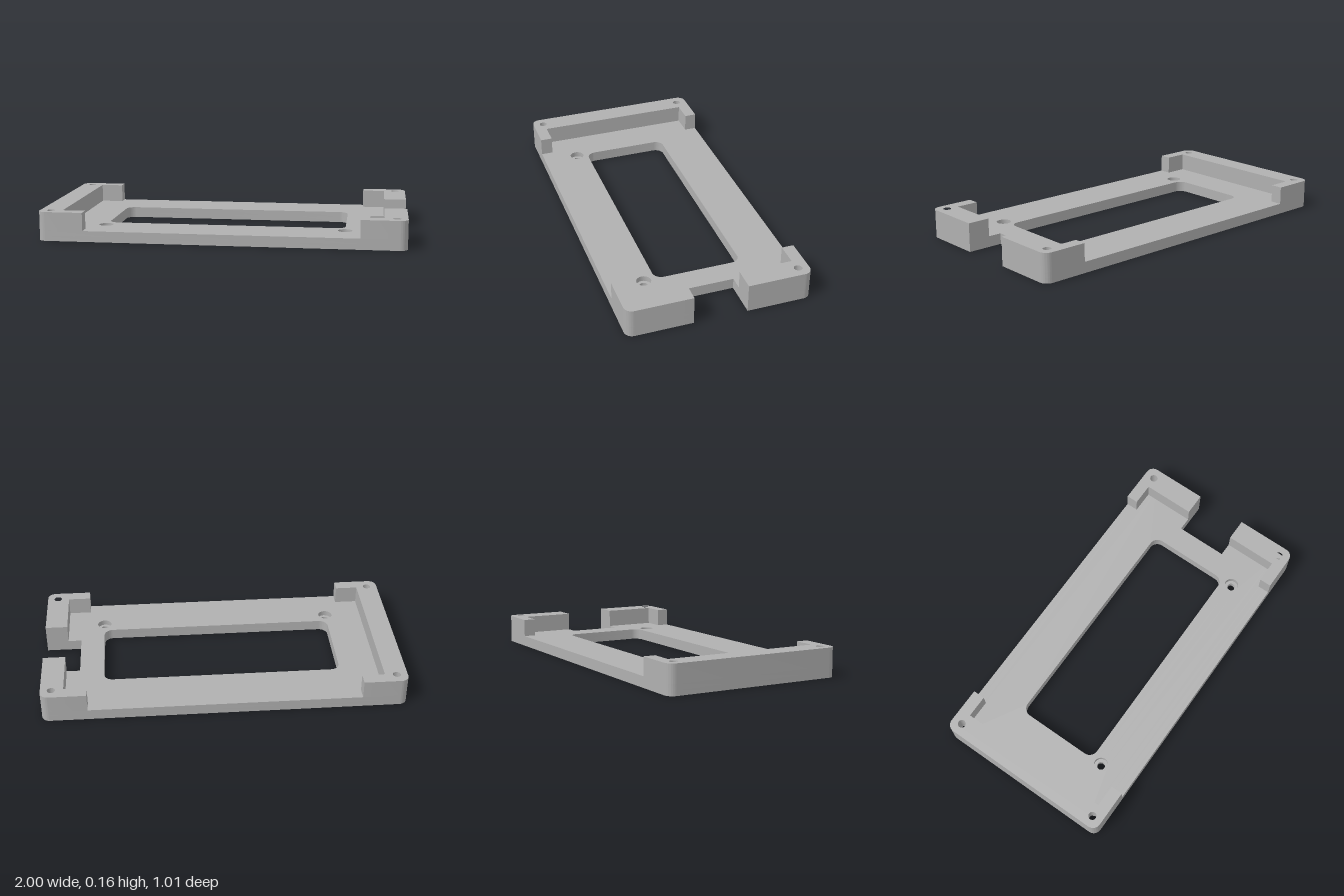
import * as THREE from 'three';
import { toCreasedNormals } from 'three/addons/utils/BufferGeometryUtils.js';

const L = 1, W = 0.507, R = 0.045;        // half length, half width, corner radius
const BORE = 0.03, FLOOR = 0.06, TOP = 0.16; // counterbore, plate and wall heights
const NOTCH_X = 0.8, NOTCH_Z = 0.147;

// Outline from [x, y, cornerRadius] points; rounded corners use arcs.
function outline(points, Type = THREE.Shape) {
  const path = new Type();
  const n = points.length;
  points.forEach(([x, y, r = 0], i) => {
    const p = new THREE.Vector2(x, y);
    const toward = ([a, b]) => new THREE.Vector2(a, b).sub(p).normalize().multiplyScalar(r).add(p);
    const start = toward(points[(i + n - 1) % n]), end = toward(points[(i + 1) % n]);
    if (i === 0) path.moveTo(start.x, start.y);
    else path.lineTo(start.x, start.y);
    if (r > 0) {
      const c = start.clone().add(end).sub(p);
      const a0 = Math.atan2(start.y - c.y, start.x - c.x), a1 = Math.atan2(end.y - c.y, end.x - c.x);
      path.absarc(c.x, c.y, r, a0, a1, Math.sin(a1 - a0) < 0);
    }
  });
  path.closePath();
  return path;
}

const circle = (x, y, r) => new THREE.Path().absarc(x, y, r, 0, Math.PI * 2, true);

const hexagon = (x, y, r) => outline([0, 1, 2, 3, 4, 5].map(i => {
  const a = -i * Math.PI / 3;
  return [x + r * Math.cos(a), y + r * Math.sin(a)];
}), THREE.Path);

export function createModel() {
  const group = new THREE.Group();
  const grey = new THREE.MeshStandardMaterial({ color: 0xb0b0b0 });
  grey.name = 'grey plastic';

  // Extrudes a plan shape (shape y = -z) between two heights.
  function slab(name, shape, holes, y0, y1) {
    shape.holes.push(...holes);
    const geo = new THREE.ExtrudeGeometry(shape, { depth: y1 - y0, bevelEnabled: false, curveSegments: 10 });
    geo.rotateX(-Math.PI / 2).translate(0, y0, 0);
    const mesh = new THREE.Mesh(toCreasedNormals(geo, 0.6), grey);
    mesh.name = name;
    group.add(mesh);
  }

  // Floor plate: window, notch in the +x end, nut pockets, counterbored screw holes
  const corners = [[-1, -1], [1, -1], [1, 1], [-1, 1]].map(([i, j]) => [i * 0.94, j * 0.447]);
  const plate = () => outline([
    [-L, -W, R], [L, -W, R], [L, -NOTCH_Z], [NOTCH_X, -NOTCH_Z],
    [NOTCH_X, NOTCH_Z], [L, NOTCH_Z], [L, W, R], [-L, W, R],
  ]);
  const plateHoles = screwRadius => [
    outline([[-0.665, -0.242, 0.05], [-0.665, 0.242, 0.05], [0.665, 0.242, 0.05], [0.665, -0.242, 0.05]], THREE.Path),
    ...corners.map(([x, y]) => hexagon(x, y, 0.036)),
    ...[-1, 1].map(s => circle(s * 0.665, -0.305, screwRadius)),
  ];
  slab('lowerPlate', plate(), plateHoles(0.022), 0, BORE);
  slab('upperPlate', plate(), plateHoles(0.04), BORE, FLOOR);

  // Raised walls with round holes above the nut pockets
  const hole = ([x, y]) => circle(x, y, 0.022);
  const IN_X = 0.875, IN_Z = 0.44, ARM = 0.75;
  slab('rightEndWall', outline([
    [-L, -W, R], [-ARM, -W], [-ARM, -IN_Z], [-IN_X, -IN_Z],
    [-IN_X, IN_Z], [-ARM, IN_Z], [-ARM, W], [-L, W, R],
  ]), [hole(corners[0]), hole(corners[3])], FLOOR, TOP);
  for (const s of [-1, 1]) {
    const points = [
      [L, s * W, R], [ARM, s * W], [ARM, s * IN_Z], [IN_X, s * IN_Z],
      [IN_X, s * NOTCH_Z], [L, s * NOTCH_Z],
    ];
    slab(s < 0 ? 'leftFrontCornerWall' : 'leftBackCornerWall', outline(points),
      [hole(corners[s < 0 ? 1 : 2])], FLOOR, TOP);
  }
  return group;
}
